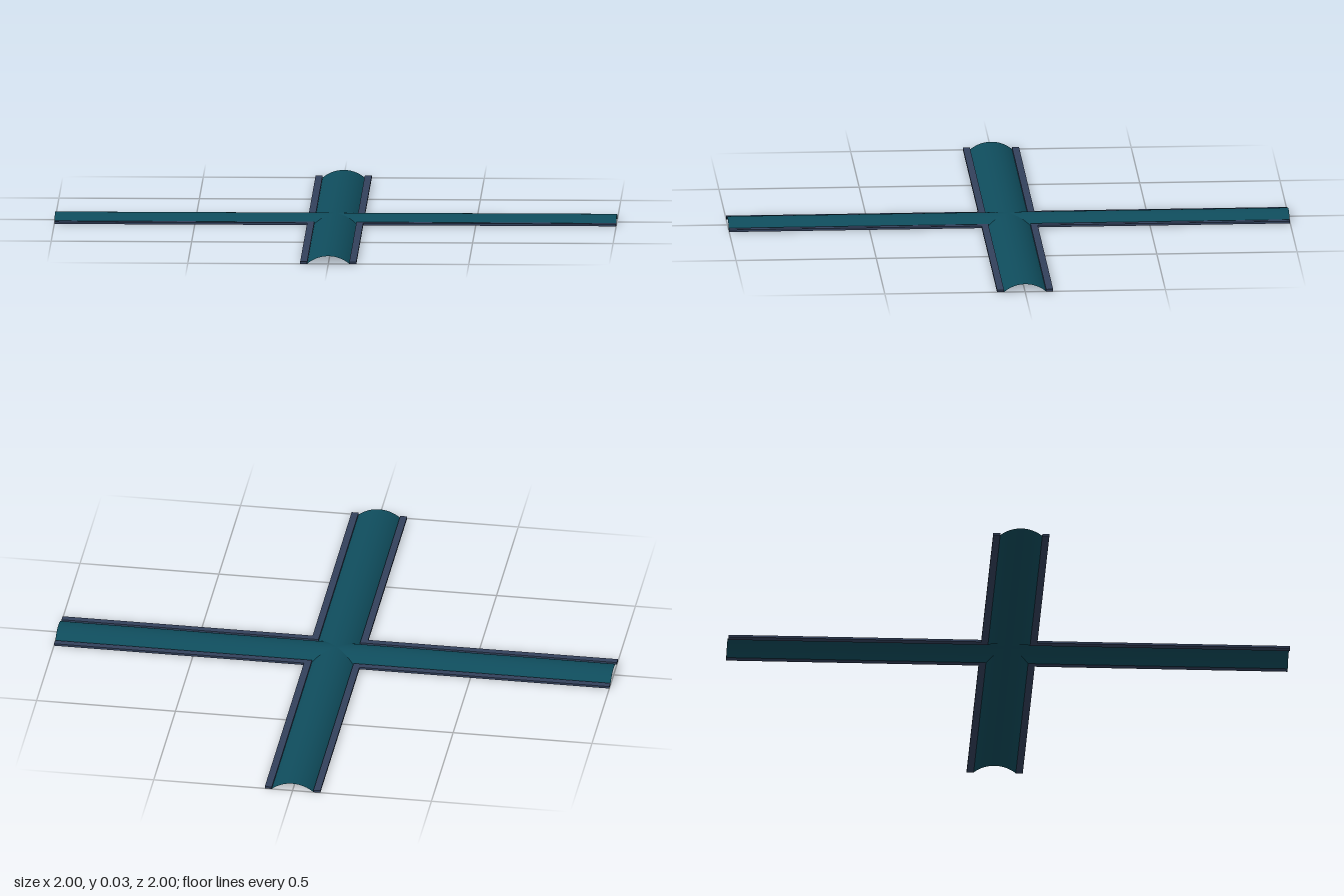
import * as THREE from 'three';

const HALF = 0.075;   // half width of the arched cover
const EDGE = 0.1;     // outer edge of the rails
const RISE = 0.028;   // height of the arch
const RAIL = 0.008;   // rail thickness

// Circular arch height at distance s from the centre line
const RADIUS = (HALF * HALF + RISE * RISE) / (2 * RISE);
const archHeight = s => Math.sqrt(RADIUS * RADIUS - s * s) - RADIUS + RISE;

// Arched strip, mitred at the crossing so four of them meet along the groins
function coverGeometry() {
  const geo = new THREE.PlaneGeometry(2 * HALF, 1, 24, 1);
  const pos = geo.attributes.position;
  for (let i = 0; i < pos.count; i++) {
    const s = pos.getX(i);
    const z = pos.getY(i) > 0 ? Math.abs(s) : 1;
    pos.setXYZ(i, s, archHeight(s), z);
  }
  geo.computeVertexNormals();
  return geo;
}

// Flat edge rail with a mitred inner end
function railGeometry(side) {
  const shape = new THREE.Shape([
    [HALF, HALF], [EDGE, EDGE], [EDGE, 1], [HALF, 1],
  ].map(([x, y]) => new THREE.Vector2(side * x, y)));
  const geo = new THREE.ExtrudeGeometry(shape, { depth: RAIL, bevelEnabled: false });
  return geo.rotateX(Math.PI / 2).translate(0, RAIL, 0);
}

export function createModel() {
  const model = new THREE.Group();
  model.name = 'crossingStrips';
  const coverMat = new THREE.MeshStandardMaterial({ color: 0x0f4c5c, side: THREE.DoubleSide });
  const railMat = new THREE.MeshStandardMaterial({ color: 0x33415c });

  const cover = coverGeometry();
  const rails = { leftRail: railGeometry(1), rightRail: railGeometry(-1) };

  // Four equal arms around the centre
  ['frontArm', 'leftArm', 'backArm', 'rightArm'].forEach((name, i) => {
    const arm = new THREE.Group();
    arm.name = name;
    const top = new THREE.Mesh(cover, coverMat);
    top.name = 'archedCover';
    arm.add(top);
    for (const [railName, geo] of Object.entries(rails)) {
      const rail = new THREE.Mesh(geo, railMat);
      rail.name = railName;
      arm.add(rail);
    }
    arm.rotation.y = i * Math.PI / 2;
    model.add(arm);
  });
  return model;
}
